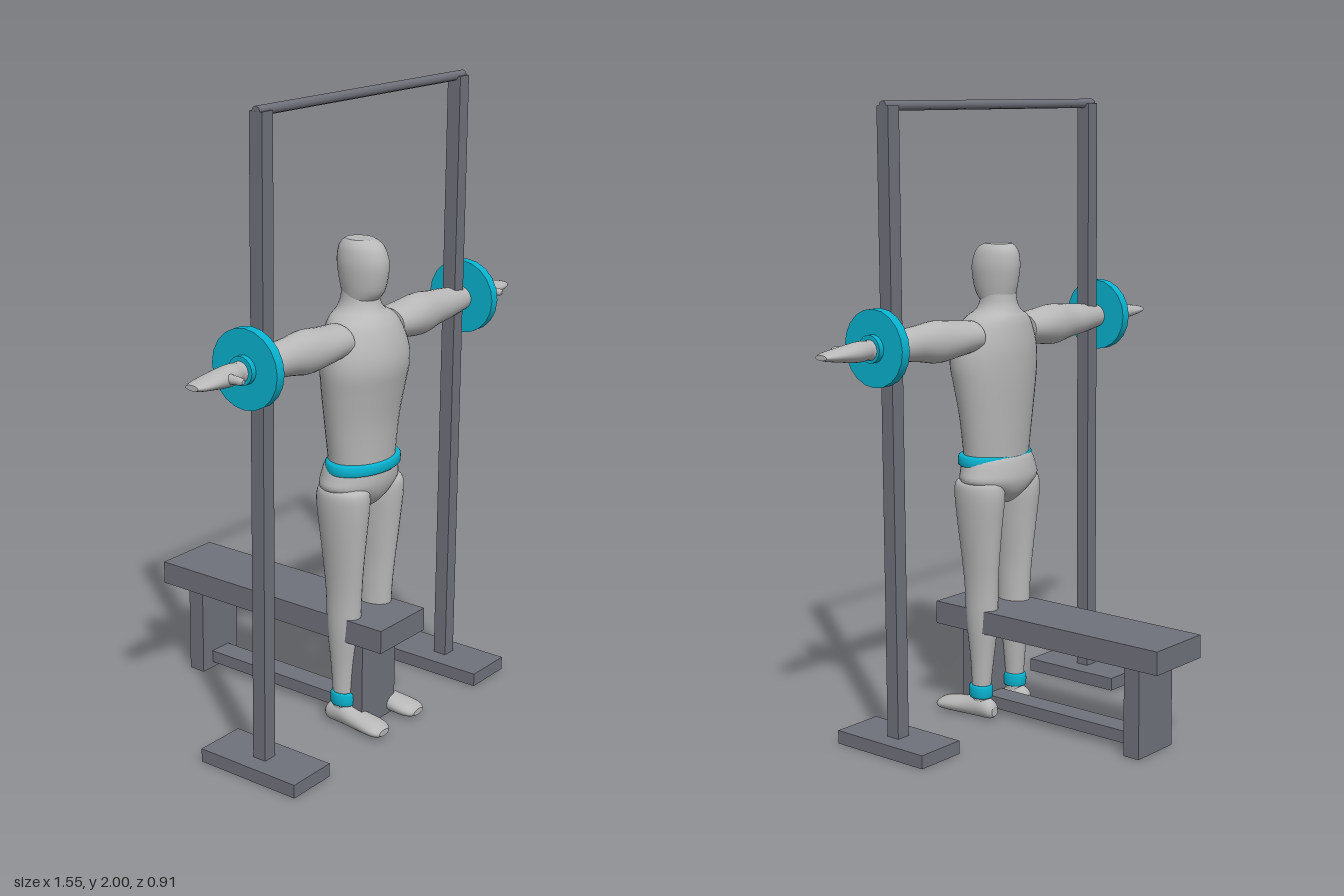
import * as THREE from 'three';

const material = (name, color) => {
  const m = new THREE.MeshStandardMaterial({ color });
  m.name = name;
  return m;
};

// Point for each loft axis: t runs along the axis, u and v span the section.
const PLACE = {
  x: (t, u, v) => [t, u, v],
  y: (t, u, v) => [v, t, u],
  z: (t, u, v) => [u, v, t],
};

function catmull(a, b, c, d, f) {
  return 0.5 * (2 * b + (c - a) * f + (2 * a - 5 * b + 4 * c - d) * f * f + (3 * b - a - 3 * c + d) * f ** 3);
}

// Smooth closed body through elliptical sections [t, uMin, uMax, vMin, vMax].
function loft(axis, sections, sides = 28, steps = 4) {
  const s = sections[0][0] > sections[sections.length - 1][0] ? [...sections].reverse() : sections;
  const at = (i) => s[Math.min(Math.max(i, 0), s.length - 1)];
  const rows = [];
  for (let i = 0; i < s.length - 1; i++) {
    for (let k = 0; k < steps; k++) {
      rows.push(s[0].map((_, n) => catmull(at(i - 1)[n], at(i)[n], at(i + 1)[n], at(i + 2)[n], k / steps)));
    }
  }
  rows.push(at(s.length));
  const pos = [], idx = [];
  const ring = ([t, u0, u1, v0, v1]) => {
    for (let j = 0; j < sides; j++) {
      const a = (j / sides) * Math.PI * 2;
      pos.push(...PLACE[axis](t, (u0 + u1) / 2 + ((u1 - u0) / 2) * Math.cos(a), (v0 + v1) / 2 + ((v1 - v0) / 2) * Math.sin(a)));
    }
  };
  rows.forEach(ring);
  for (let i = 0; i < rows.length - 1; i++) {
    for (let j = 0; j < sides; j++) {
      const a = i * sides + j, b = i * sides + ((j + 1) % sides);
      idx.push(a, b, b + sides, a, b + sides, a + sides);
    }
  }
  // Flat end caps with their own vertices keep a sharp rim
  [rows[0], rows[rows.length - 1]].forEach((row, end) => {
    const base = pos.length / 3;
    ring(row);
    pos.push(...PLACE[axis](row[0], (row[1] + row[2]) / 2, (row[3] + row[4]) / 2));
    for (let j = 0; j < sides; j++) {
      const a = base + j, b = base + ((j + 1) % sides);
      idx.push(base + sides, end ? a : b, end ? b : a);
    }
  });
  const g = new THREE.BufferGeometry();
  g.setAttribute('position', new THREE.Float32BufferAttribute(pos, 3));
  g.setIndex(idx);
  g.computeVertexNormals();
  return g;
}

// Box given by its limits on each axis
function span(x0, x1, y0, y1, z0, z1) {
  return new THREE.BoxGeometry(x1 - x0, y1 - y0, z1 - z0).translate((x0 + x1) / 2, (y0 + y1) / 2, (z0 + z1) / 2);
}

export function createModel() {
  const model = new THREE.Group();
  model.name = 'mannequinWithGymRack';
  const skin = material('lightGrey', 0xb8b8b8);
  const steel = material('darkGrey', 0x70727b);
  const cyan = material('cyan', 0x08b2cf);
  const add = (name, geometry, mat) => {
    const mesh = new THREE.Mesh(geometry, mat);
    mesh.name = name;
    model.add(mesh);
    return mesh;
  };

  // Bench
  add('benchTop', span(-0.115, 0.115, 0.295, 0.37, -0.457, 0.44), steel);
  add('benchRearLeg', span(-0.087, 0.087, 0, 0.295, -0.37, -0.312), steel);
  add('benchFrontLeg', span(-0.087, 0.087, 0, 0.295, 0.292, 0.35), steel);
  add('benchStretcher', span(-0.04, 0.04, 0.02, 0.06, -0.312, 0.292), steel);

  // Rack crossbar
  add('rackCrossbar', new THREE.CylinderGeometry(0.015, 0.015, 1, 8).rotateZ(Math.PI / 2).translate(0, 1.985, 0.275), steel);

  // Trunk: sections are [y, back z, front z, -x, +x]
  const sym = (rows) => rows.map(([y, z0, z1, x]) => [y, z0, z1, -x, x]);
  add('torso', loft('y', sym([
    [0.83, 0.185, 0.365, 0.12], [0.88, 0.183, 0.365, 0.125], [1.0, 0.175, 0.372, 0.142], [1.1, 0.168, 0.388, 0.158],
    [1.17, 0.165, 0.4, 0.167], [1.23, 0.165, 0.395, 0.16], [1.29, 0.172, 0.375, 0.136], [1.32, 0.18, 0.355, 0.112],
    [1.34, 0.19, 0.335, 0.075], [1.37, 0.2, 0.322, 0.058], [1.42, 0.205, 0.315, 0.053],
  ]), 36), skin);
  add('head', loft('y', sym([
    [1.355, 0.215, 0.305, 0.05], [1.39, 0.203, 0.338, 0.057], [1.43, 0.193, 0.351, 0.063],
    [1.48, 0.185, 0.356, 0.066], [1.52, 0.188, 0.345, 0.06], [1.54, 0.198, 0.328, 0.051], [1.552, 0.213, 0.305, 0.04],
  ])), skin);
  add('pelvis', loft('y', sym([
    [0.715, 0.225, 0.3, 0.02], [0.73, 0.2, 0.325, 0.045], [0.76, 0.175, 0.35, 0.1], [0.795, 0.164, 0.363, 0.152],
    [0.83, 0.167, 0.366, 0.147], [0.86, 0.175, 0.362, 0.137], [0.872, 0.182, 0.355, 0.125],
  ]), 36), skin);
  add('waistBelt', loft('y', sym([
    [0.843, 0.19, 0.368, 0.138], [0.848, 0.183, 0.376, 0.145], [0.872, 0.183, 0.376, 0.144], [0.878, 0.19, 0.368, 0.136],
  ]), 36, 2), cyan);

  for (const s of [1, -1]) {
    const side = s > 0 ? 'left' : 'right';
    const leg = (rows) => rows.map(([y, z0, z1, a, b]) => [y, z0, z1, Math.min(s * a, s * b), Math.max(s * a, s * b)]);
    const arm = (rows) => rows.map(([x, ...r]) => [s * x, ...r]);

    // Rack upright and its foot
    add(side + 'RackPost', span(s * 0.4775 - 0.0235, s * 0.4775 + 0.0235, 0.04, 1.985, 0.252, 0.298), steel);
    add(side + 'RackFoot', span(s * 0.475 - 0.085, s * 0.475 + 0.085, 0, 0.043, 0.097, 0.457), steel);

    // Leg, ankle band and foot
    add(side + 'Leg', loft('y', leg([
      [0.05, 0.24, 0.305, 0.056, 0.112], [0.1, 0.24, 0.305, 0.056, 0.112], [0.2, 0.23, 0.312, 0.046, 0.116],
      [0.32, 0.215, 0.327, 0.036, 0.124], [0.43, 0.21, 0.333, 0.037, 0.125], [0.52, 0.203, 0.34, 0.037, 0.131],
      [0.65, 0.19, 0.352, 0.027, 0.147], [0.74, 0.18, 0.36, 0.019, 0.156], [0.785, 0.185, 0.357, 0.023, 0.154],
      [0.8, 0.2, 0.34, 0.04, 0.138],
    ])), skin);
    add(side + 'AnkleBand', loft('y', leg([
      [0.068, 0.238, 0.31, 0.054, 0.114], [0.075, 0.232, 0.316, 0.05, 0.12],
      [0.105, 0.232, 0.316, 0.05, 0.12], [0.112, 0.238, 0.31, 0.054, 0.114],
    ]), 28, 2), cyan);
    const foot = [
      [0.215, 0.07, 0.1, 0.012, 0.045], [0.23, 0.058, 0.112, 0.003, 0.062], [0.275, 0.053, 0.118, 0.001, 0.075],
      [0.33, 0.049, 0.126, 0.001, 0.062], [0.39, 0.044, 0.134, 0.001, 0.052], [0.425, 0.05, 0.132, 0.003, 0.043],
      [0.442, 0.068, 0.118, 0.01, 0.03],
    ];
    add(side + 'Foot', loft('z', foot.map(([z, a, b, y0, y1]) =>
      [z, Math.min(s * a, s * b), Math.max(s * a, s * b), y0, y1])), skin);

    // Arm and hand: sections are [x, yMin, yMax, zMin, zMax]
    add(side + 'Arm', loft('x', arm([
      [0.125, 1.217, 1.316, 0.207, 0.337], [0.2, 1.207, 1.322, 0.207, 0.34], [0.285, 1.198, 1.331, 0.212, 0.335],
      [0.36, 1.21, 1.324, 0.22, 0.328], [0.43, 1.218, 1.318, 0.222, 0.325], [0.52, 1.23, 1.307, 0.235, 0.315],
      [0.59, 1.242, 1.3, 0.245, 0.302],
    ])), skin);
    add(side + 'Hand', loft('x', arm([
      [0.57, 1.247, 1.296, 0.247, 0.3], [0.61, 1.24, 1.302, 0.238, 0.308], [0.655, 1.242, 1.298, 0.234, 0.312],
      [0.71, 1.25, 1.29, 0.235, 0.312], [0.75, 1.256, 1.284, 0.241, 0.307], [0.773, 1.262, 1.278, 0.25, 0.296],
    ])), skin);
    add(side + 'Thumb', loft('z', [
      [0.285, -0.018, 0.018, 1.257, 1.289], [0.32, -0.014, 0.014, 1.26, 1.286],
      [0.343, -0.011, 0.011, 1.262, 1.284], [0.352, -0.006, 0.006, 1.267, 1.279],
    ], 14).translate(s * 0.65, 0, 0), skin);

    // Weight plate and its outer collar
    const disc = (r, x0, x1) => new THREE.CylinderGeometry(r, r, x1 - x0, 20)
      .rotateZ(Math.PI / 2).translate((s * (x0 + x1)) / 2, 1.273, 0.275);
    add(side + 'WeightPlate', disc(0.119, 0.524, 0.556), cyan);
    add(side + 'WeightCollar', disc(0.043, 0.55, 0.574), cyan);
  }
  return model;
}
